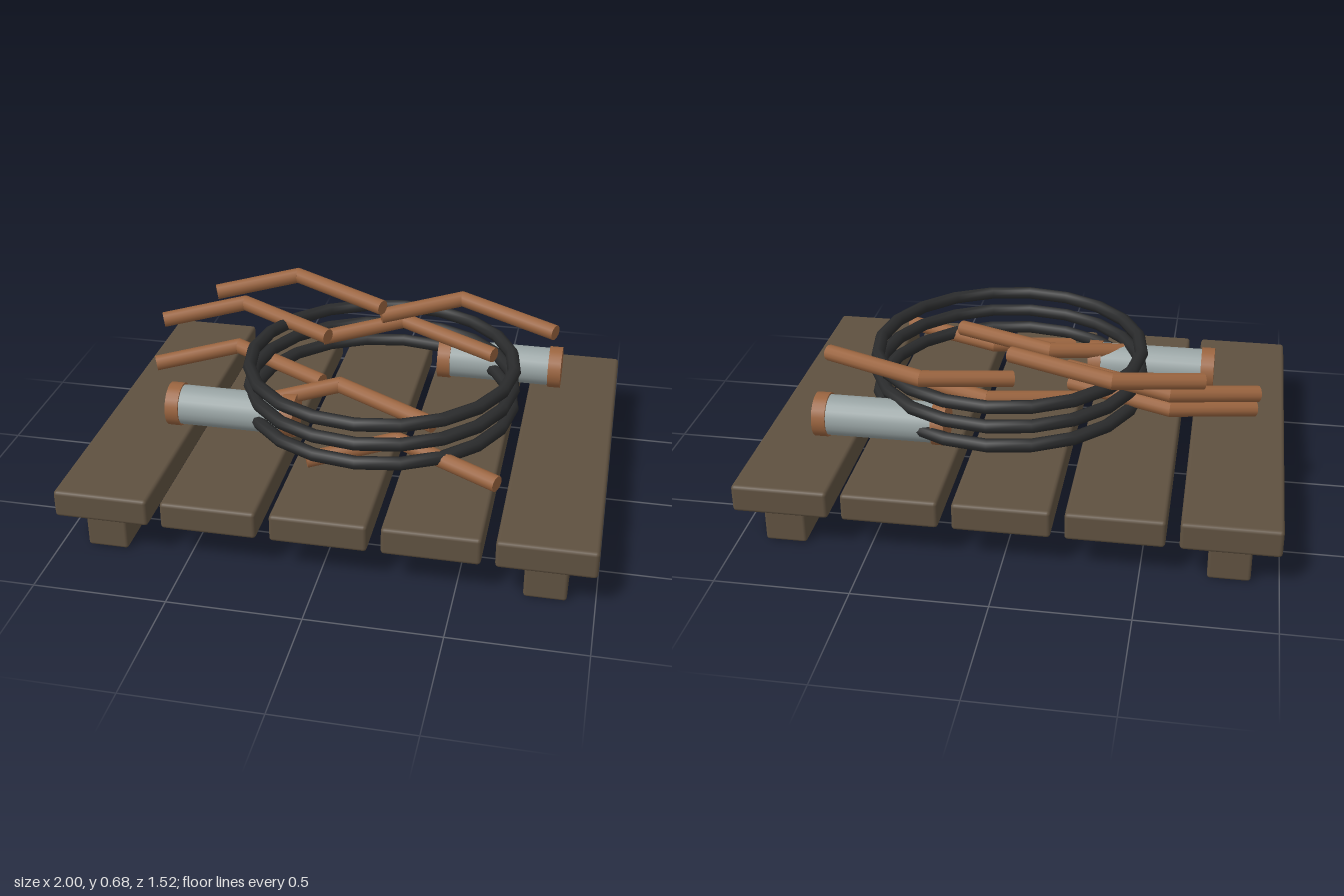
import * as THREE from 'three';
import { RoundedBoxGeometry } from 'three/addons/geometries/RoundedBoxGeometry.js';

const wood = new THREE.MeshStandardMaterial({ name: 'wood', color: 0x5f5140 });
const copper = new THREE.MeshStandardMaterial({ name: 'copper', color: 0x9a643f });
const rubber = new THREE.MeshStandardMaterial({ name: 'rubber', color: 0x2a2b2c });
const steel = new THREE.MeshStandardMaterial({ name: 'steel', color: 0x98a3a3 });

function add(parent, name, geometry, material, x = 0, y = 0, z = 0) {
  const mesh = new THREE.Mesh(geometry, material);
  mesh.name = name;
  mesh.position.set(x, y, z);
  parent.add(mesh);
  return mesh;
}

// Straight rod from a to b whose end at "joint" is cut along the mitre plane
function mitredRod(a, b, joint, normal, radius) {
  const dir = b.clone().sub(a);
  const length = dir.length();
  dir.normalize();
  const geo = new THREE.CylinderGeometry(radius, radius, length, 12);
  geo.applyQuaternion(new THREE.Quaternion().setFromUnitVectors(new THREE.Vector3(0, 1, 0), dir));
  const middle = a.clone().add(b).multiplyScalar(0.5);
  geo.translate(middle.x, middle.y, middle.z);
  const pos = geo.attributes.position;
  const side = joint === b ? 1 : -1;
  const v = new THREE.Vector3();
  for (let i = 0; i < pos.count; i++) {
    v.fromBufferAttribute(pos, i);
    if (v.clone().sub(middle).dot(dir) * side < 0) continue;
    v.addScaledVector(dir, joint.clone().sub(v).dot(normal) / dir.dot(normal));
    pos.setXYZ(i, v.x, v.y, v.z);
  }
  return geo;
}

export function createModel() {
  const model = new THREE.Group();
  model.name = 'palletOfScrap';

  // Pallet: five planks on two runners
  const pallet = new THREE.Group();
  pallet.name = 'pallet';
  model.add(pallet);
  const plankGeo = new RoundedBoxGeometry(0.36, 0.108, 1.52, 2, 0.014);
  for (let i = -2; i <= 2; i++) add(pallet, 'plank', plankGeo, wood, i * 0.41, 0.196, 0);
  const runnerGeo = new RoundedBoxGeometry(0.156, 0.145, 1.43, 2, 0.012);
  for (const s of [-1, 1]) add(pallet, 'runner', runnerGeo, wood, s * 0.82, 0.0725, 0);

  // Coil of three stacked hose rings
  const coil = new THREE.Group();
  coil.name = 'hoseCoil';
  model.add(coil);
  const ringGeo = new THREE.TorusGeometry(0.519, 0.026, 8, 20).rotateX(Math.PI / 2);
  for (let i = 0; i < 3; i++) add(coil, 'hoseRing', ringGeo, rubber, 0.09, 0.365 + i * 0.08, 0);

  // Two canisters lying on their sides, capped at both ends
  const bodyGeo = new THREE.CylinderGeometry(0.078, 0.078, 0.46, 20).rotateZ(Math.PI / 2);
  const capGeo = new THREE.CylinderGeometry(0.085, 0.085, 0.052, 20).rotateZ(Math.PI / 2);
  for (const [x, z] of [[-0.455, 0.227], [0.518, -0.385]]) {
    const canister = new THREE.Group();
    canister.name = 'canister';
    canister.position.set(x, 0.37, z);
    model.add(canister);
    add(canister, 'canisterBody', bodyGeo, steel);
    for (const s of [-1, 1]) add(canister, 'canisterCap', capGeo, copper, s * 0.228);
  }

  // Seven identical bent pipes, each placed by its elbow
  const start = new THREE.Vector3(-0.318, -0.045, 0.137);
  const elbow = new THREE.Vector3();
  const end = new THREE.Vector3(0.402, -0.022, 0.202);
  const inDir = elbow.clone().sub(start).normalize();
  const outDir = end.clone().sub(elbow).normalize();
  const normal = inDir.add(outDir).normalize();
  const armGeos = [
    mitredRod(start, elbow, elbow, normal, 0.031),
    mitredRod(elbow, end, elbow, normal, 0.031),
  ];
  const elbows = [
    [0.21, 0.365, 0.325], [-0.56, 0.415, -0.225], [-0.055, 0.46, 0.112], [0.105, 0.505, -0.42],
    [-0.565, 0.55, -0.362], [0.34, 0.6, -0.477], [-0.362, 0.645, -0.477],
  ];
  for (const p of elbows) {
    const pipe = new THREE.Group();
    pipe.name = 'bentPipe';
    pipe.position.set(...p);
    model.add(pipe);
    for (const geo of armGeos) add(pipe, 'pipeArm', geo, copper);
  }
  return model;
}
